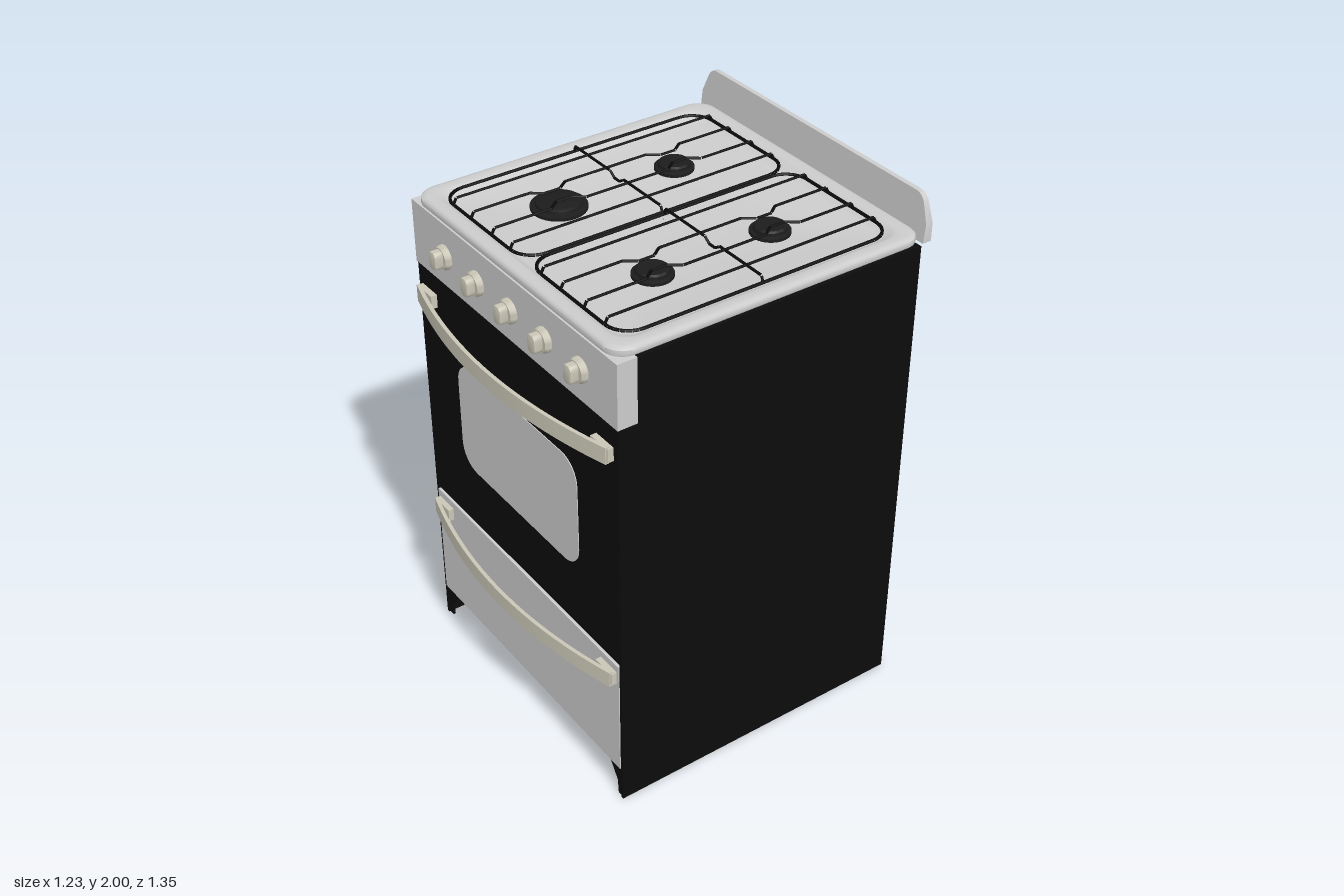
import * as THREE from 'three';
import { toCreasedNormals } from 'three/addons/utils/BufferGeometryUtils.js';

const mat = (color, side = THREE.FrontSide) => new THREE.MeshStandardMaterial({ color, side });
const GREY = mat(0xcccccc);
const BLACK = mat(0x0c0c0c);
const IRON = mat(0x1c1c1c);
const WIRE = mat(0x0a0a0a);
const CREAM = mat(0xcac6b6);

function add(parent, name, geometry, material, x = 0, y = 0, z = 0) {
  const mesh = new THREE.Mesh(geometry, material);
  mesh.name = name;
  mesh.position.set(x, y, z);
  parent.add(mesh);
  return mesh;
}

// Box given by its limits on each axis
function block(parent, name, material, [x0, x1], [y0, y1], [z0, z1]) {
  return add(parent, name, new THREE.BoxGeometry(x1 - x0, y1 - y0, z1 - z0), material,
    (x0 + x1) / 2, (y0 + y1) / 2, (z0 + z1) / 2);
}

// Corner-rounded rectangle as a list of points, anticlockwise
function roundedRect(x0, x1, y0, y1, r, steps = 8) {
  const pts = [];
  const corners = [[x1 - r, y1 - r], [x0 + r, y1 - r], [x0 + r, y0 + r], [x1 - r, y0 + r]];
  corners.forEach(([cx, cy], q) => {
    for (let i = 0; i <= steps; i++) {
      const a = (q + i / steps) * Math.PI / 2;
      pts.push(new THREE.Vector2(cx + r * Math.cos(a), cy + r * Math.sin(a)));
    }
  });
  return pts;
}

// Skin through horizontal rounded rectangles: [x half width, z back, z front, radius, y]
function loftRects(levels) {
  const pos = [], index = [];
  const n = 36;
  levels.forEach(([w, z0, z1, r, y]) =>
    roundedRect(-w, w, z0, z1, r).forEach(p => pos.push(p.x, y, p.y)));
  for (let k = 0; k < levels.length - 1; k++) {
    for (let i = 0; i < n; i++) {
      const a = k * n + i, b = k * n + (i + 1) % n;
      index.push(a, a + n, b, b, a + n, b + n);
    }
  }
  const g = new THREE.BufferGeometry();
  g.setAttribute('position', new THREE.Float32BufferAttribute(pos, 3));
  g.setIndex(index);
  return toCreasedNormals(g, 0.7);
}

// Straight-segment wire through points
function wire(parent, name, points, closed = false, radius = 0.005) {
  const path = new THREE.CurvePath();
  const v = points.map(p => new THREE.Vector3(...p));
  if (closed) v.push(v[0].clone());
  for (let i = 0; i < v.length - 1; i++) {
    if (v[i].distanceTo(v[i + 1]) > 1e-5) path.add(new THREE.LineCurve3(v[i], v[i + 1]));
  }
  // One short cylinder per segment keeps the bends crisp
  const g = new THREE.Group();
  g.name = name;
  path.curves.forEach(c => add(g, name + 'Segment', new THREE.TubeGeometry(c, 1, radius, 6), WIRE));
  parent.add(g);
}

function addHandle(parent, name, y0, y1) {
  const g = new THREE.Group();
  g.name = name;
  const bow = (x, off) => new THREE.Vector2(x, 0.575 + 0.085 * (1 - (x / 0.58) ** 2) + off);
  const front = [], back = [];
  for (let i = 0; i <= 28; i++) {
    const x = -0.58 + 1.16 * i / 28;
    front.unshift(bow(x, 0.014));
    back.push(bow(x, 0));
  }
  const geo = new THREE.ExtrudeGeometry(new THREE.Shape([...back, ...front]), { depth: y1 - y0, bevelEnabled: false });
  geo.rotateX(Math.PI / 2);
  add(g, 'handleBar', toCreasedNormals(geo, 0.5), CREAM, 0, y1, 0);
  for (const s of [-1, 1]) {
    block(g, 'handleBracket', CREAM, s < 0 ? [-0.585, -0.49] : [0.49, 0.585], [y0 + 0.006, y1 - 0.006], [0.555, 0.584]);
  }
  parent.add(g);
}

function addKnob(parent, x) {
  const g = new THREE.Group();
  g.name = 'knob';
  g.position.set(x, 1.715, 0.56);
  const profile = [[0, 0], [0.044, 0], [0.044, 0.016], [0.038, 0.026], [0, 0.026]].map(p => new THREE.Vector2(...p));
  const base = toCreasedNormals(new THREE.LatheGeometry(profile, 28).rotateX(Math.PI / 2), 0.5);
  add(g, 'knobBase', base, CREAM);
  const grip = new THREE.ExtrudeGeometry(new THREE.Shape(roundedRect(-0.022, 0.022, -0.034, 0.034, 0.018, 5)),
    { depth: 0.034, bevelThickness: 0.004, bevelSize: 0.004, bevelSegments: 2, bevelOffset: -0.004 });
  add(g, 'knobGrip', toCreasedNormals(grip, 0.6), CREAM, 0, 0, 0.018);
  parent.add(g);
}

// One wire pan support covering a front and a back burner
function addGrate(parent, x0, x1, burners) {
  const g = new THREE.Group();
  g.name = 'grate';
  const low = 1.868, high = 1.89, zB = -0.573, zF = 0.495, cx = (x0 + x1) / 2;
  wire(g, 'grateFrame', roundedRect(x0, x1, zB, zF, 0.085, 7).map(p => [p.x, low, p.y]), true, 0.006);
  for (const dx of [-0.178, 0.178]) {
    const x = cx + dx;
    wire(g, 'outerBar', [[x, low, zB], [x, high, zB + 0.012], [x, high, zF - 0.012], [x, low, zF]]);
  }
  for (const s of [-1, 1]) {
    const x = cx + s * 0.065, pts = [[x, low, zB], [x, high, zB + 0.012]];
    burners.forEach(({ z }) => {
      const inner = cx + s * 0.035;
      pts.push([x, high, z - 0.07], [inner, high, z - 0.03], [inner, high, z + 0.03], [x, high, z + 0.07]);
    });
    pts.push([x, high, zF - 0.012], [x, low, zF]);
    wire(g, 'burnerBar', pts);
  }
  wire(g, 'crossBar', [[x0, low, -0.04], [x0 + 0.008, high, -0.04], [cx - 0.04, high, -0.04], [cx - 0.015, low + 0.005, -0.04],
    [cx + 0.015, low + 0.005, -0.04], [cx + 0.04, high, -0.04], [x1 - 0.008, high, -0.04], [x1, low, -0.04]]);
  parent.add(g);
}

function addBurner(parent, x, z, r) {
  const profile = [[0, 0], [r, 0], [r, 0.012], [r * 0.82, 0.016], [r * 0.8, 0.026], [r * 0.7, 0.031], [0, 0.031]];
  const geo = new THREE.LatheGeometry(profile.map(p => new THREE.Vector2(...p)), 36);
  add(parent, 'burner', toCreasedNormals(geo, 0.5), IRON, x, 1.845, z);
}

export function createModel() {
  const model = new THREE.Group();
  model.name = 'gasStove';

  // Cabinet: thin walls, oven block above an open cavity
  for (const s of [-1, 1]) {
    block(model, 'sidePanel', BLACK, s < 0 ? [-0.61, -0.598] : [0.598, 0.61], [0, 1.835], [-0.63, 0.56]);
    const foot = new THREE.Shape([[0.6, 0], [0.6, 0.15], [0.52, 0.15], [0.53, 0.12], [0.57, 0.06], [0.575, 0]]
      .map(([x, y]) => new THREE.Vector2(s * x, y)));
    add(model, 'footFlange', new THREE.ExtrudeGeometry(foot, { depth: 0.01, bevelEnabled: false }), BLACK, 0, 0, 0.545);
  }
  block(model, 'backPanel', BLACK, [-0.598, 0.598], [0, 1.835], [-0.63, -0.618]);
  block(model, 'ovenBody', BLACK, [-0.598, 0.598], [0.64, 1.833], [-0.618, 0.552]);

  // Oven door with window
  block(model, 'ovenDoor', BLACK, [-0.606, 0.606], [0.63, 1.59], [0.54, 0.561]);
  const pane = new THREE.Shape(roundedRect(-0.375, 0.372, 0.88, 1.322, 0.09));
  add(model, 'ovenWindow', new THREE.ExtrudeGeometry(pane, { depth: 0.005, bevelEnabled: false }), GREY, 0, 0, 0.559);
  addHandle(model, 'doorHandle', 1.462, 1.525);

  // Bottom drawer
  block(model, 'drawerFront', GREY, [-0.597, 0.597], [0.138, 0.615], [0.546, 0.563]);
  addHandle(model, 'drawerHandle', 0.53, 0.592);

  // Control panel and knobs
  block(model, 'controlPanel', GREY, [-0.613, 0.613], [1.597, 1.838], [0.49, 0.564]);
  for (let i = 0; i < 5; i++) addKnob(model, -0.4 + i * 0.204);

  // Cooktop with a raised rim and sunken tray
  add(model, 'cooktop', loftRects([
    [0.58, -0.62, 0.53, 0.05, 1.842],
    [0.603, -0.648, 0.56, 0.07, 1.842],
    [0.606, -0.65, 0.562, 0.075, 1.85],
    [0.604, -0.648, 0.56, 0.073, 1.862],
    [0.596, -0.64, 0.552, 0.067, 1.869],
    [0.585, -0.63, 0.542, 0.06, 1.871],
    [0.56, -0.602, 0.518, 0.07, 1.871],
    [0.547, -0.59, 0.506, 0.07, 1.867],
    [0.53, -0.572, 0.49, 0.07, 1.85],
    [0.515, -0.557, 0.475, 0.07, 1.846],
    [0.002, -0.042, -0.038, 0.001, 1.846],
  ]), GREY);

  // Burners and grates
  const burners = [
    { x: -0.265, z: -0.275, r: 0.07 }, { x: -0.265, z: 0.197, r: 0.098 },
    { x: 0.27, z: -0.275, r: 0.07 }, { x: 0.27, z: 0.193, r: 0.07 },
  ];
  burners.forEach(b => addBurner(model, b.x, b.z, b.r));
  addGrate(model, -0.533, -0.006, burners.slice(0, 2));
  addGrate(model, 0.006, 0.533, burners.slice(2));

  // Backsplash: rounded trapezoid, leaning slightly on its front face
  const splash = new THREE.Shape();
  splash.moveTo(-0.605, 1.838);
  splash.lineTo(0.605, 1.838);
  splash.lineTo(0.605, 1.905);
  splash.lineTo(0.58, 1.968);
  splash.quadraticCurveTo(0.567, 2, 0.535, 2);
  splash.lineTo(-0.535, 2);
  splash.quadraticCurveTo(-0.567, 2, -0.58, 1.968);
  splash.lineTo(-0.605, 1.905);
  const splashGeo = new THREE.ExtrudeGeometry(splash, { depth: 0.035, bevelEnabled: false });
  const p = splashGeo.attributes.position;
  for (let i = 0; i < p.count; i++) {
    if (p.getZ(i) > 0.01) p.setZ(i, 0.035 - 0.017 * (p.getY(i) - 1.838) / 0.162);
  }
  add(model, 'backsplash', toCreasedNormals(splashGeo, 0.5), GREY, 0, 0, -0.675);

  return model;
}
